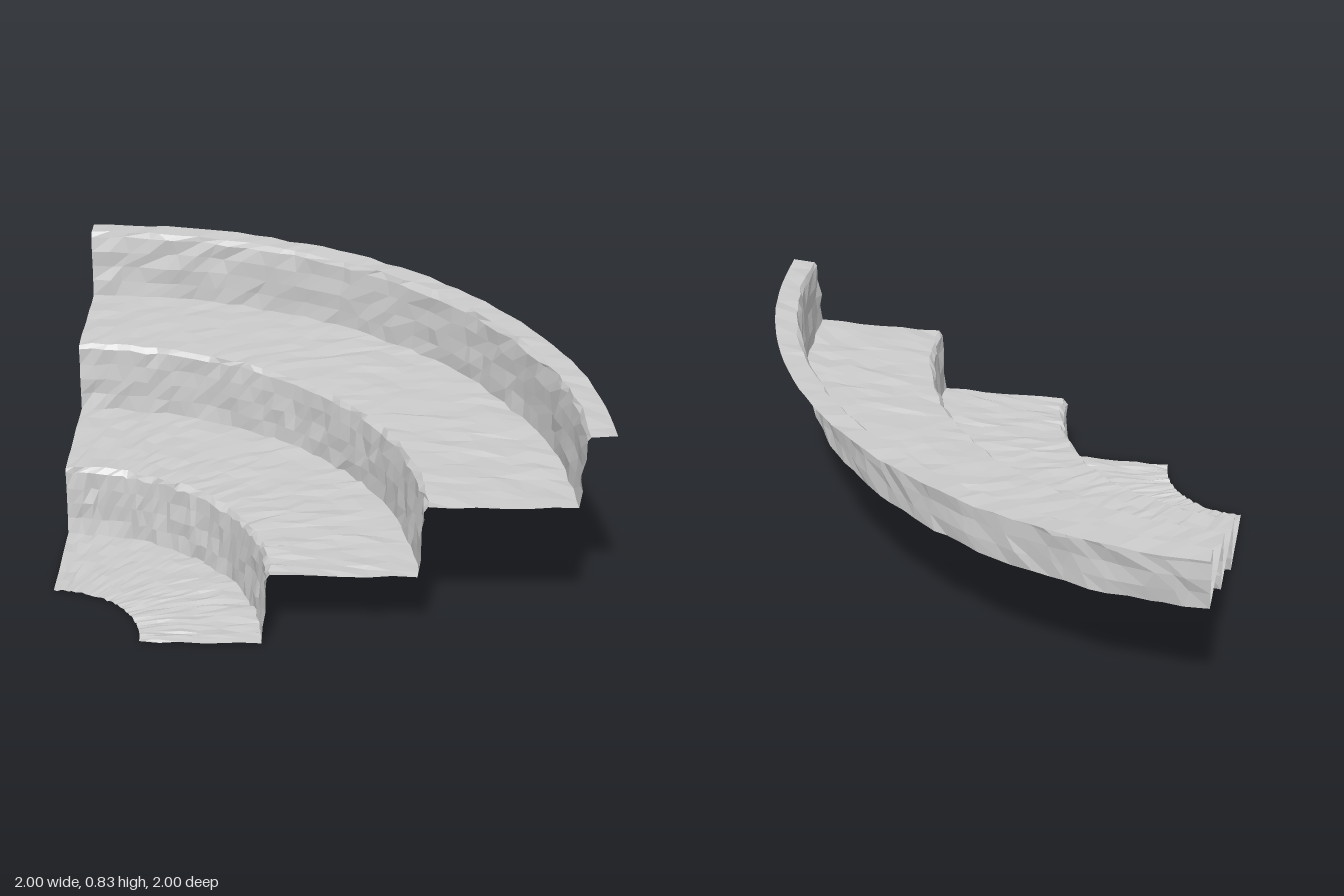
import * as THREE from 'three';

const SEGMENTS = 40;
const INNER = 0.35, OUTER = 2;

// repeatable noise in -1..1 for a grid point, so neighbouring parts share their seams
function noise(ring, seg, channel) {
  const s = Math.sin(ring * 127.1 + seg * 311.7 + channel * 74.7) * 43758.5453;
  return (s - Math.floor(s)) * 2 - 1;
}

// points along a straight profile run, both ends included
function run(r0, y0, r1, y1, steps) {
  return Array.from({ length: steps + 1 }, (_, i) =>
    new THREE.Vector2(r0 + (r1 - r0) * i / steps, y0 + (y1 - y0) * i / steps));
}

export function createModel() {
  const group = new THREE.Group();
  group.name = 'quarterRoundSteps';
  const material = new THREE.MeshStandardMaterial({
    color: 0xcccccc, flatShading: true, side: THREE.DoubleSide,
  });
  let firstRing = 0;

  // a quarter-turn sheet with a rough, hand-cut surface
  function addSweep(name, points) {
    const geometry = new THREE.LatheGeometry(points, SEGMENTS, 0, Math.PI / 2);
    const pos = geometry.attributes.position;
    for (let seg = 0; seg <= SEGMENTS; seg++) {
      points.forEach((p, j) => {
        const ring = firstRing + j;
        const clean = p.x === INNER || p.x === OUTER;
        const atEnd = seg === 0 || seg === SEGMENTS;
        const shift = atEnd || clean ? 0 : noise(ring, seg, 0) * 0.38;
        const angle = Math.PI / 2 * (1 + (seg + shift) / SEGMENTS);
        const r = p.x + (clean ? 0 : noise(ring, seg, 1) * 0.008);
        const y = p.y + noise(ring, seg, 2) * 0.005;
        pos.setXYZ(seg * points.length + j, -1 + r * Math.sin(angle), y, 1 + r * Math.cos(angle));
      });
    }
    geometry.computeVertexNormals();
    const mesh = new THREE.Mesh(geometry, material);
    mesh.name = name;
    group.add(mesh);
    firstRing += points.length - 1;
  }

  // three treads, each ending in a slightly leaning riser
  const feet = [0.785, 1.335, 1.88];
  let start = INNER;
  feet.forEach((foot, i) => {
    const y = 0.01 + i * 0.275;
    addSweep(`tread${i + 1}`, run(start, y, foot, y, 6));
    addSweep(`riser${i + 1}`, [
      ...run(foot, y, foot + 0.02, y + 0.255, 4),
      new THREE.Vector2(foot + 0.034, y + 0.275),
    ]);
    start = foot + 0.034;
  });

  // narrow lip around the top
  addSweep('topRim', run(start, 0.835, OUTER, 0.835, 1));
  return group;
}
